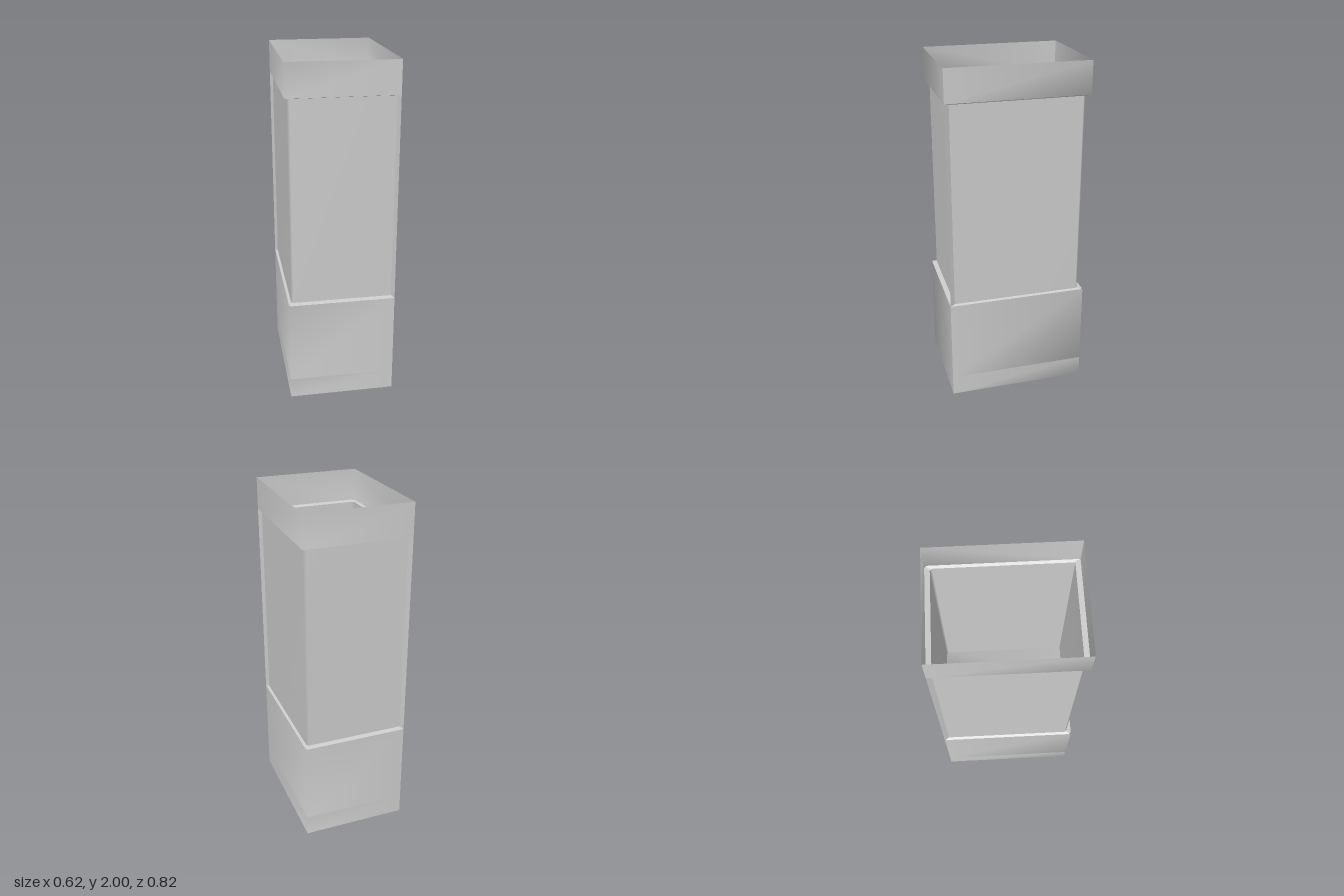
import * as THREE from 'three';

const W = 0.31, D = 0.408;    // outer half width and half depth
const w = 0.295, d = 0.38;    // recessed shaft half width and half depth

const material = new THREE.MeshStandardMaterial({ color: 0xcccccc, side: THREE.DoubleSide });

// L-shaped wall covering two sides, lofted through rows [y, halfX, halfZ, cornerBevel]
function halfWall(rows) {
  const pos = [], index = [];
  for (const [y, x, z, c] of rows) {
    const plan = c ? [[x, z], [x, -z + c], [x - c, -z], [-x, -z]] : [[x, z], [x, -z], [-x, -z]];
    for (const [px, pz] of plan) pos.push(px, y, pz);
  }
  const n = pos.length / 3 / rows.length;
  for (let r = 0; r < rows.length - 1; r++) {
    for (let i = 0; i < n - 1; i++) {
      const a = r * n + i, b = a + n;
      index.push(a, a + 1, b + 1, a, b + 1, b);
    }
  }
  const g = new THREE.BufferGeometry();
  g.setAttribute('position', new THREE.Float32BufferAttribute(pos, 3));
  g.setIndex(index);
  g.computeVertexNormals();
  return g;
}

export function createModel() {
  const model = new THREE.Group();

  const bands = {
    plinth: [[0, W, D, 0], [0.12, W, D, 0]],
    base: [[0.12, W, D, 0], [0.612, W, D, 0]],
    lowerLedge: [[0.612, W, D, 0.012], [0.618, w, d, 0.012]],
    shaft: [[0.618, w, d, 0.012], [1.805, w, d, 0.012]],
    upperLedge: [[1.805, w, d, 0.012], [1.812, W, D, 0.012]],
    rim: [[1.812, W, D, 0], [2, W, D, 0]],
  };

  // Seam fin filling the recess at a diagonal corner
  const finLength = Math.hypot(W - w, D - d);
  const fin = new THREE.PlaneGeometry(finLength, 1.2);
  fin.rotateY(-Math.atan2(D - d, W - w));
  fin.translate((W + w) / 2, 1.212, (D + d) / 2);

  // Two identical halves meet at opposite corners
  for (const side of ['right', 'left']) {
    const half = new THREE.Group();
    half.name = side + 'Half';
    half.rotation.y = side === 'left' ? Math.PI : 0;
    for (const [name, rows] of Object.entries(bands)) {
      const mesh = new THREE.Mesh(halfWall(rows), material);
      mesh.name = name;
      half.add(mesh);
    }
    const seam = new THREE.Mesh(fin, material);
    seam.name = 'seamFin';
    half.add(seam);
    model.add(half);
  }

  // Closed bottom
  const floor = new THREE.Mesh(new THREE.PlaneGeometry(2 * W, 2 * D).rotateX(Math.PI / 2), material);
  floor.name = 'floor';
  model.add(floor);

  return model;
}
